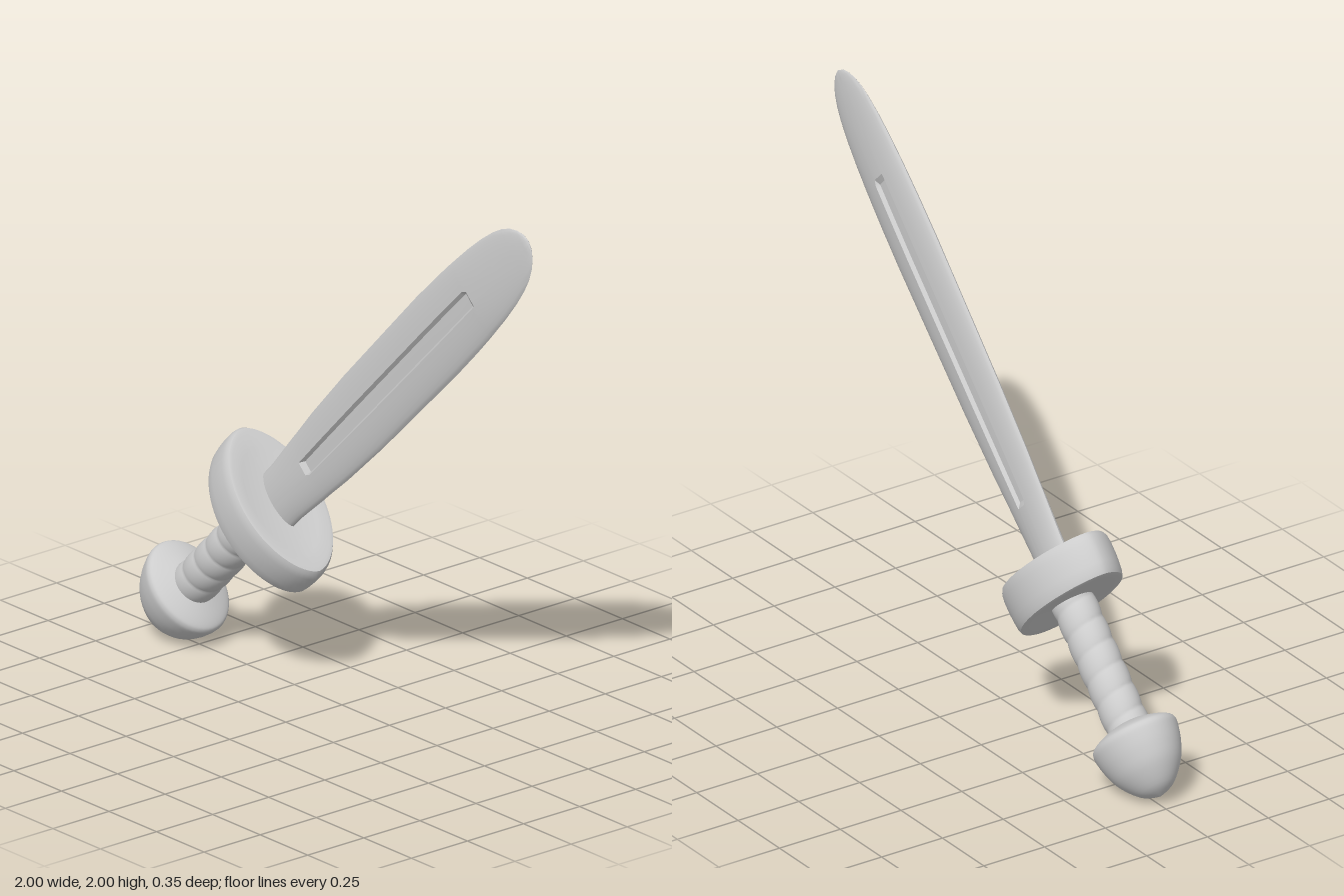
import * as THREE from 'three';
import { mergeVertices, toCreasedNormals } from 'three/addons/utils/BufferGeometryUtils.js';

const material = new THREE.MeshStandardMaterial({ color: 0xcccccc, side: THREE.DoubleSide });

const spline = (pairs) => new THREE.SplineCurve(pairs.map(([r, y]) => new THREE.Vector2(r, y)));

// Moves every vertex by a rule, then welds the seam and smooths or creases the normals.
function shape(geometry, rule, crease) {
  const p = geometry.attributes.position;
  const v = new THREE.Vector3();
  for (let i = 0; i < p.count; i++) {
    rule(v.fromBufferAttribute(p, i));
    p.setXYZ(i, v.x, v.y, v.z);
  }
  geometry.deleteAttribute('uv');
  geometry.deleteAttribute('normal');
  const welded = mergeVertices(geometry, 1e-5);
  if (crease) return toCreasedNormals(welded, crease);
  welded.computeVertexNormals();
  return welded;
}

function part(name, geometry) {
  const mesh = new THREE.Mesh(geometry, material);
  mesh.name = name;
  return mesh;
}

// Blade: lens-shaped cross-sections with a shallow groove on both faces
function bladeGeometry() {
  const outline = [ // distance along, half width, half thickness
    [-0.6, 0.105, 0.036], [-0.42, 0.108, 0.034], [-0.255, 0.122, 0.03], [-0.235, 0.123, 0.03], [-0.22, 0.124, 0.03],
    [-0.1, 0.134, 0.03], [0.15, 0.145, 0.03], [0.45, 0.15, 0.03], [0.7, 0.154, 0.03], [0.85, 0.152, 0.029],
    [0.955, 0.148, 0.028], [0.97, 0.147, 0.028], [0.99, 0.146, 0.028], [1.08, 0.14, 0.025], [1.17, 0.13, 0.021],
    [1.24, 0.117, 0.017], [1.29, 0.102, 0.014], [1.33, 0.082, 0.011], [1.36, 0.057, 0.008], [1.378, 0.033, 0.006],
    [1.388, 0.001, 0.001],
  ];
  const half = [1, 0.97, 0.9, 0.78, 0.6, 0.42, 0.24, 0.17];
  const across = [...half, 0, ...half.map((s) => -s).reverse()];
  const positions = [];
  const index = [];
  for (const [y, w, t] of outline) {
    const grooved = y > -0.24 && y < 0.98;
    const depth = (s) => t * (1 - s * s) ** 0.6 - (grooved && Math.abs(s) < 0.2 ? 0.013 : 0);
    for (const s of across) positions.push(s * w + 0.01 * (1 - y / 1.4), y, depth(s));
    for (const s of across.slice(1, -1).reverse()) positions.push(s * w + 0.01 * (1 - y / 1.4), y, -depth(s));
  }
  const n = across.length * 2 - 2;
  for (let i = 0; i < outline.length - 1; i++) {
    for (let j = 0; j < n; j++) {
      const a = i * n + j, b = i * n + ((j + 1) % n);
      index.push(a, a + n, b, b, a + n, b + n);
    }
  }
  const geometry = new THREE.BufferGeometry();
  geometry.setAttribute('position', new THREE.Float32BufferAttribute(positions, 3));
  geometry.setIndex(index);
  return toCreasedNormals(geometry, 0.5);
}

export function createModel() {
  const sword = new THREE.Group();
  sword.name = 'sword';

  sword.add(part('blade', bladeGeometry()));

  // Guard: thick oval disc with slightly pointed ends and rounded rims
  const guardProfile = [[0, -0.625], [0.75, -0.628], [0.9, -0.632], [0.95, -0.628], [0.975, -0.612], [0.99, -0.585],
    [1, -0.55], [1, -0.51], [0.985, -0.485], [0.955, -0.472], [0.9, -0.47], [0.7, -0.478], [0, -0.485]];
  const guard = new THREE.LatheGeometry(guardProfile.map(([r, y]) => new THREE.Vector2(r, y)), 64);
  sword.add(part('guard', shape(guard, (v) => {
    const r = Math.hypot(v.x, v.z) || 1;
    const s = v.z / r;
    v.x = v.x * 0.297 + 0.02;
    v.z = Math.sign(s) * Math.abs(s) ** 1.18 * r * 0.175;
  }, 0.7)));

  // Grip: cylinder with slanted wrapping bands
  const grip = new THREE.CylinderGeometry(1, 1, 0.54, 40, 72, true);
  sword.add(part('grip', shape(grip, (v) => {
    const turn = Math.atan2(v.z, v.x);
    const band = (((v.y / 0.085 + turn / (2 * Math.PI)) % 1) + 1) % 1;
    const r = 0.075 + 0.006 * Math.sin(Math.PI * band) ** 0.6;
    v.set(v.x * r * 1.02 + 0.008, v.y - 0.85, v.z * r * 0.95);
  })));

  // Pommel: blunt, pointed cap, wider across than deep
  const pommelProfile = spline([[0, -1.368], [0.07, -1.342], [0.132, -1.28], [0.163, -1.22], [0.178, -1.165],
    [0.177, -1.14], [0.162, -1.125], [0.12, -1.108], [0.06, -1.092], [0, -1.09]]);
  const pommel = new THREE.LatheGeometry(pommelProfile.getPoints(40).map((p) => p.setX(Math.max(p.x, 0))), 48);
  sword.add(part('pommel', shape(pommel, (v) => { v.z *= 0.82; })));

  // Lean the whole sword onto its diagonal
  sword.rotation.z = -Math.PI / 4;
  sword.position.y = 1;
  const model = new THREE.Group();
  model.name = 'shortSword';
  model.add(sword);
  return model;
}
